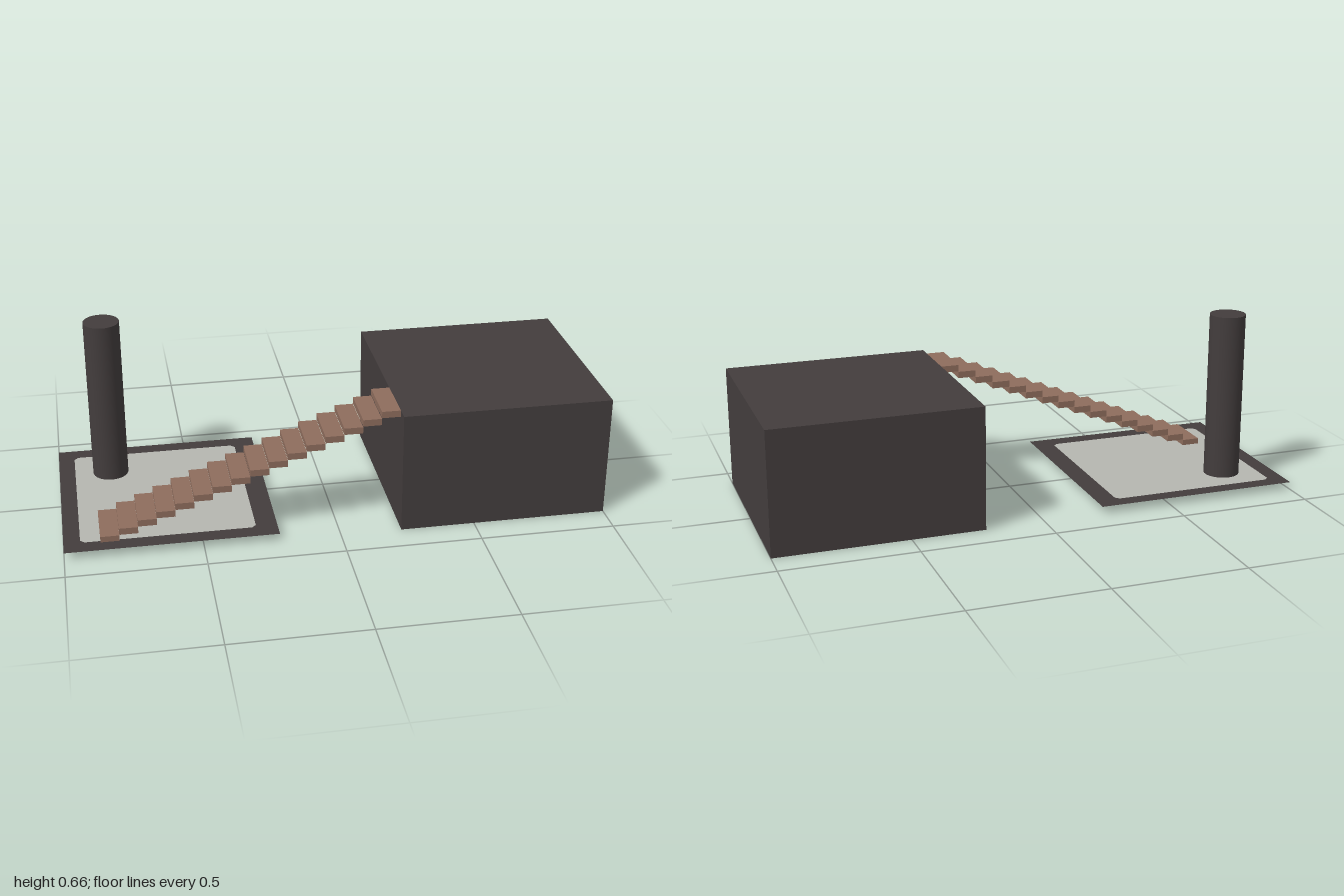
import * as THREE from 'three';

export function createModel() {
  const model = new THREE.Group();
  const dark = new THREE.MeshStandardMaterial({ color: 0x433d3d });
  dark.name = 'charcoal';
  const darkSheet = dark.clone();
  darkSheet.side = THREE.DoubleSide;
  darkSheet.name = 'charcoal sheet';
  const grey = new THREE.MeshStandardMaterial({ color: 0xb5b6b0, side: THREE.DoubleSide });
  grey.name = 'pale grey';
  const brown = new THREE.MeshStandardMaterial({ color: 0x8e6d5d });
  brown.name = 'wood brown';

  const add = (name, geometry, material, x, y, z, parent = model) => {
    const mesh = new THREE.Mesh(geometry, material);
    mesh.name = name;
    mesh.position.set(x, y, z);
    parent.add(mesh);
    return mesh;
  };

  // Raised block
  add('block', new THREE.BoxGeometry(0.775, 0.462, 0.775), dark, 0.6125, 0.231, 0);

  // Flat floor: dark border around a pale panel with clipped corners.
  // Shape y maps to -z once laid flat.
  const x0 = -0.94, x1 = -0.303, y0 = -0.325, y1 = 0.33, c = 0.015;
  const panelPoints = [
    [x0 + c, y0], [x1 - c, y0], [x1, y0 + c], [x1, y1 - c],
    [x1 - c, y1], [x0 + c, y1], [x0, y1 - c], [x0, y0 + c],
  ].map(([x, y]) => new THREE.Vector2(x, y));
  const borderShape = new THREE.Shape([
    [-1, -0.3875], [-0.225, -0.3875], [-0.225, 0.3875], [-1, 0.3875],
  ].map(([x, y]) => new THREE.Vector2(x, y)));
  borderShape.holes.push(new THREE.Path(panelPoints));
  const floor = new THREE.Group();
  floor.name = 'floor';
  model.add(floor);
  const lay = (shape) => new THREE.ShapeGeometry(shape).rotateX(-Math.PI / 2);
  add('floorBorder', lay(borderShape), darkSheet, 0, 0.029, 0, floor);
  add('floorPanel', lay(new THREE.Shape(panelPoints)), grey, 0, 0.029, 0, floor);

  // Round pillar
  add('pillar', new THREE.CylinderGeometry(0.0675, 0.0675, 0.637, 32), dark, -0.803, 0.3435, -0.195);

  // Staircase climbing from the floor to the top of the block
  const stairs = new THREE.Group();
  stairs.name = 'stairs';
  model.add(stairs);
  const count = 16, run = 1.093 / count, rise = 0.411 / (count - 1);
  const tread = new THREE.BoxGeometry(run, 0.025, 0.195);
  for (let i = 0; i < count; i++) {
    add(`step${i + 1}`, tread, brown, -0.868 + run * (i + 0.5), 0.0385 + rise * i, 0.2375, stairs);
  }
  return model;
}
